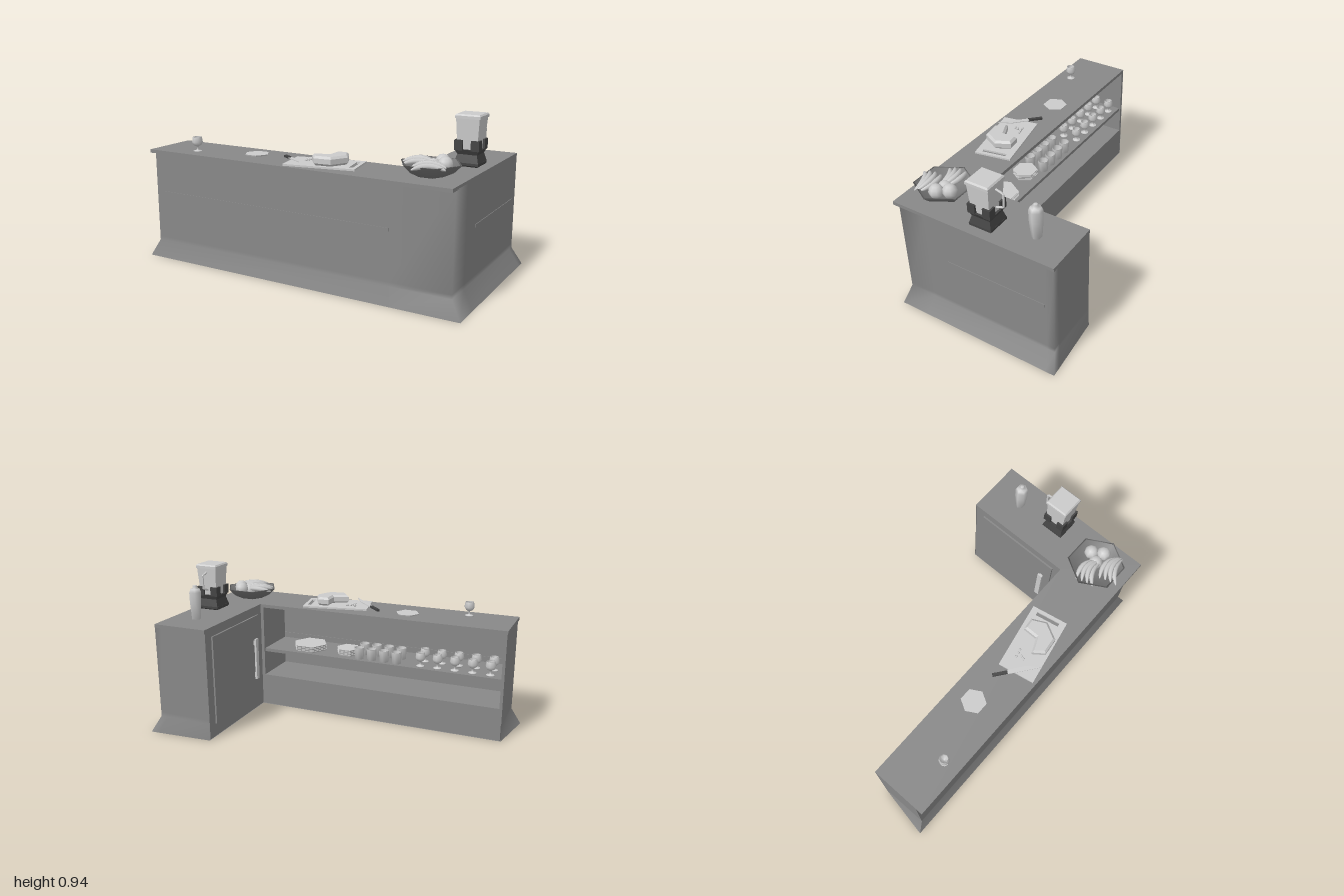
import * as THREE from 'three';

const TOP = 0.665, SHELF = 0.375;
const mat = (color, flatShading = true) =>
  new THREE.MeshStandardMaterial({ color, flatShading, side: THREE.DoubleSide });
const grey = mat(0xcccccc), smooth = mat(0xcccccc, false);
const body = mat(0x888888), bodySmooth = mat(0x888888, false);
const dark = mat(0x444444), darkSmooth = mat(0x777777, false);

export function createModel() {
  const root = new THREE.Group();
  const add = (name, geo, m = grey, x = 0, y = 0, z = 0, parent = root) => {
    const mesh = new THREE.Mesh(geo, m);
    mesh.name = name;
    mesh.position.set(x, y, z);
    parent.add(mesh);
    return mesh;
  };
  const group = (name, x = 0, y = 0, z = 0) => {
    const g = new THREE.Group();
    g.name = name;
    g.position.set(x, y, z);
    root.add(g);
    return g;
  };
  // box given by its limits on each axis
  const block = (name, x0, x1, y0, y1, z0, z1, m = body, parent = root) =>
    add(name, new THREE.BoxGeometry(x1 - x0, y1 - y0, z1 - z0), m,
      (x0 + x1) / 2, (y0 + y1) / 2, (z0 + z1) / 2, parent);
  const lathe = (pts, sides, turn = 0) =>
    new THREE.LatheGeometry(pts.map(p => new THREE.Vector2(...p)), sides).rotateY(turn);
  // plan outline in x, z raised upwards
  const plan = pts => new THREE.Shape(pts.map(([x, z]) => new THREE.Vector2(x, -z)));
  const slab = (shape, depth, bevel = 0) => new THREE.ExtrudeGeometry(shape, {
    depth, bevelEnabled: bevel > 0, bevelSize: bevel, bevelThickness: bevel, bevelSegments: 1, curveSegments: 5,
  }).rotateX(-Math.PI / 2);

  // Outer shell: [wall x, wall z, foot x, foot z]; the foot flares outwards
  const path = [
    [-0.945, 0.17, -0.945, 0.17], [-0.945, 0.46, -1, 0.487],
    [-0.945, 0.46, -1, 0.487], [0.6, 0.46, 0.62, 0.487], [0.942, 0.46, 1, 0.487],
    [0.942, 0.3, 1, 0.32], [0.942, -0.43, 1, -0.45], [0.942, -0.475, 1, -0.505], [0.9, -0.475, 0.95, -0.502],
    [0.61, -0.475, 0.61, -0.48],
  ];
  const rows = [0, 0.1, 0.125, 0.65], pos = [], index = [];
  path.forEach(([x, z, fx, fz], i) => {
    rows.forEach((y, r) => pos.push(r ? x : fx, y, r ? z : fz));
    if (i === 0 || i === 2) return;
    for (let r = 0; r < rows.length - 1; r++) {
      const b = i * rows.length + r, a = b - rows.length;
      index.push(a, b, b + 1, a, b + 1, a + 1);
    }
  });
  const shell = new THREE.BufferGeometry();
  shell.setAttribute('position', new THREE.Float32BufferAttribute(pos, 3));
  shell.setIndex(index);
  shell.computeVertexNormals();
  add('counterShell', shell, bodySmooth);

  // Floor, worktop and cabinet
  add('counterFloor', new THREE.ShapeGeometry(plan([[-0.945, 0.17], [-1, 0.487], [1, 0.487],
    [1, -0.505], [0.61, -0.48], [0.61, 0.17]])).rotateX(-Math.PI / 2), body);
  add('worktop', slab(plan([[-0.945, 0.17], [-0.945, 0.503], [0.942, 0.503], [0.942, -0.477],
    [0.61, -0.477], [0.61, 0.17]]), 0.02), body, 0, TOP - 0.02);
  block('sideCabinet', 0.61, 0.938, 0.003, 0.648, -0.472, 0.455);
  block('lowerDeck', -0.94, 0.61, 0.003, 0.2, 0.17, 0.457);
  block('shelf', -0.94, 0.61, SHELF - 0.02, SHELF, 0.18, 0.457);
  block('endPanel', -0.942, -0.925, 0.1, 0.648, 0.17, 0.457);
  block('innerPost', 0.59, 0.61, 0.003, 0.648, 0.17, 0.457);

  // Trim strips
  block('frontTrim', -0.89, 0.595, 0.392, 0.41, 0.455, 0.463);
  block('sideTrim', 0.938, 0.945, 0.39, 0.408, -0.42, 0.17);

  // Door with bar handle
  block('door', 0.6, 0.612, 0.08, 0.61, -0.41, 0.12);
  const handle = group('doorHandle');
  block('handleBar', 0.58, 0.592, 0.21, 0.47, 0.045, 0.075, grey, handle);
  for (const y of [0.22, 0.43]) block('handlePost', 0.588, 0.605, y, y + 0.03, 0.05, 0.07, grey, handle);

  // Drinking vessels
  const goblet = lathe([[0, 0], [0.026, 0], [0.024, 0.005], [0.005, 0.01], [0.005, 0.028], [0.022, 0.038],
    [0.031, 0.056], [0.026, 0.085], [0.022, 0.085], [0.025, 0.058], [0, 0.04]], 8);
  const tumbler = lathe([[0, 0], [0.028, 0], [0.033, 0.07], [0.029, 0.07], [0.025, 0.008], [0, 0.008]], 8);
  add('goblet', goblet, smooth, -0.665, TOP, 0.41);
  for (const z of [0.225, 0.32]) {
    for (let i = 0; i < 4; i++) add('shelfTumbler', tumbler, smooth, -0.04 - i * 0.08, SHELF, z);
    for (let i = 0; i < 5; i++) add('shelfGoblet', goblet, smooth, -0.43 - i * 0.105, SHELF, z);
  }

  // Hexagonal mat and plate stacks
  const hex = (r, h) => new THREE.CylinderGeometry(r, r * 0.95, h, 6).rotateY(Math.PI / 2).translate(0, h / 2, 0);
  add('hexMat', hex(0.072, 0.007), grey, -0.315, TOP, 0.31);
  for (const [x, r, n] of [[0.32, 0.11, 4], [0.06, 0.075, 4]])
    for (let i = 0; i < n; i++) add('shelfPlate', hex(r, 0.009), grey, x, SHELF + i * 0.01, 0.29);

  // Cutting board with grip slot
  const boardShape = plan([[-0.2, -0.107], [0.2, -0.107], [0.2, 0.107], [-0.2, 0.107]]);
  boardShape.holes.push(new THREE.Path([[0.158, -0.07], [0.18, -0.07], [0.18, 0.07], [0.158, 0.07]]
    .map(p => new THREE.Vector2(...p))));
  add('cuttingBoard', slab(boardShape, 0.01), grey, 0.152, TOP, 0.343).rotation.y = 0.19;

  // Cut wheel of food and crumbs
  add('cutWheel', slab(plan([[0.19, 0.265], [0.24, 0.26], [0.275, 0.33], [0.23, 0.415], [0.145, 0.425],
    [0.11, 0.38], [0.19, 0.345]]), 0.027, 0.012), grey, 0, TOP + 0.022);
  for (const [x, z] of [[0.03, 0.32], [0.05, 0.34], [0.075, 0.31], [0.045, 0.36], [0.055, 0.315]])
    add('crumb', new THREE.IcosahedronGeometry(0.009, 0), grey, x, TOP + 0.015, z);

  // Knife, laid from the worktop up onto the board
  const knife = group('knife', -0.07, TOP + 0.013, 0.342);
  knife.rotation.set(0, -0.67, 0.07);
  add('knifeHandle', new THREE.BoxGeometry(0.085, 0.012, 0.018), dark, -0.042, 0, 0, knife);
  add('knifeBlade', slab(plan([[0, -0.012], [0.11, -0.014], [0.185, 0.012], [0, 0.012]]), 0.004),
    grey, 0, -0.002, 0, knife);

  // Fruit bowl
  const bowl = group('fruitBowl', 0.747, TOP, 0.312);
  add('bowl', lathe([[0, 0.003], [0.07, 0.003], [0.125, 0.03], [0.165, 0.07], [0.155, 0.07], [0.115, 0.036],
    [0.06, 0.012], [0, 0.012]], 6, Math.PI / 2), darkSmooth, 0, 0, 0, bowl);
  for (const [x, y, z] of [[0.038, 0.066, -0.064], [0.075, 0.066, -0.005], [0.01, 0.05, -0.01]])
    add('roundFruit', new THREE.SphereGeometry(0.041, 8, 6), smooth, x, y, z, bowl);
  // curved fruit: a long sphere bent along its length
  const banana = new THREE.SphereGeometry(1, 7, 10).rotateZ(Math.PI / 2).scale(0.085, 0.016, 0.016);
  const bp = banana.attributes.position;
  for (let i = 0; i < bp.count; i++) {
    const x = bp.getX(i);
    bp.setZ(i, bp.getZ(i) + 4 * x * x - 0.01);
    bp.setY(i, bp.getY(i) - 2 * x * x);
  }
  banana.computeVertexNormals();
  for (const [x, z, turn] of [[-0.065, -0.005, 0.12], [0.025, 0.085, 0.2]])
    for (let i = 0; i < 4; i++) {
      const b = add('curvedFruit', banana, smooth, x + i * 0.004, 0.072 + Math.sin(i) * 0.012, z + (i - 1.5) * 0.021, bowl);
      b.rotation.y = turn + (i - 1.5) * 0.14;
    }

  // Blender: square turned profiles, given by half width
  const square = pts => lathe(pts.map(([w, y]) => [w * Math.SQRT2, y]), 4, Math.PI / 4);
  const blender = group('blender', 0.83, TOP, -0.022);
  add('blenderFoot', square([[0, 0.005], [0.06, 0.005], [0.067, 0.012], [0.067, 0.025], [0, 0.025]]),
    dark, 0, 0, 0, blender);
  add('blenderBase', square([[0, 0.025], [0.066, 0.025], [0.054, 0.068], [0.067, 0.095], [0, 0.095]]),
    dark, 0, 0, 0, blender);
  for (const sx of [-1, 1]) for (const sz of [-1, 1])
    add('blenderProng', new THREE.BoxGeometry(0.045, 0.055, 0.045), dark, sx * 0.0455, 0.117, sz * 0.0455, blender);
  add('blenderJar', square([[0, 0.09], [0.054, 0.09], [0.064, 0.257], [0, 0.257]]), grey, 0, 0, 0, blender);
  add('blenderLid', square([[0, 0.257], [0.069, 0.257], [0.069, 0.272], [0.062, 0.28], [0, 0.28]]),
    grey, 0, 0, 0, blender);
  const grip = new THREE.CurvePath();
  const gripPts = [[0.235, -0.06], [0.222, -0.106], [0.14, -0.103], [0.126, -0.058]]
    .map(([y, z]) => new THREE.Vector3(0, y, z));
  for (let i = 0; i < 3; i++) grip.add(new THREE.LineCurve3(gripPts[i], gripPts[i + 1]));
  add('blenderHandle', new THREE.TubeGeometry(grip, 18, 0.006, 6), grey, 0, 0, 0, blender);

  // Bottle
  add('bottle', lathe([[0, 0], [0.028, 0], [0.036, 0.1], [0.037, 0.16], [0.03, 0.178], [0.014, 0.18],
    [0.014, 0.195], [0.009, 0.2], [0, 0.2]], 6, Math.PI / 2), smooth, 0.787, TOP, -0.281);
  return root;
}
